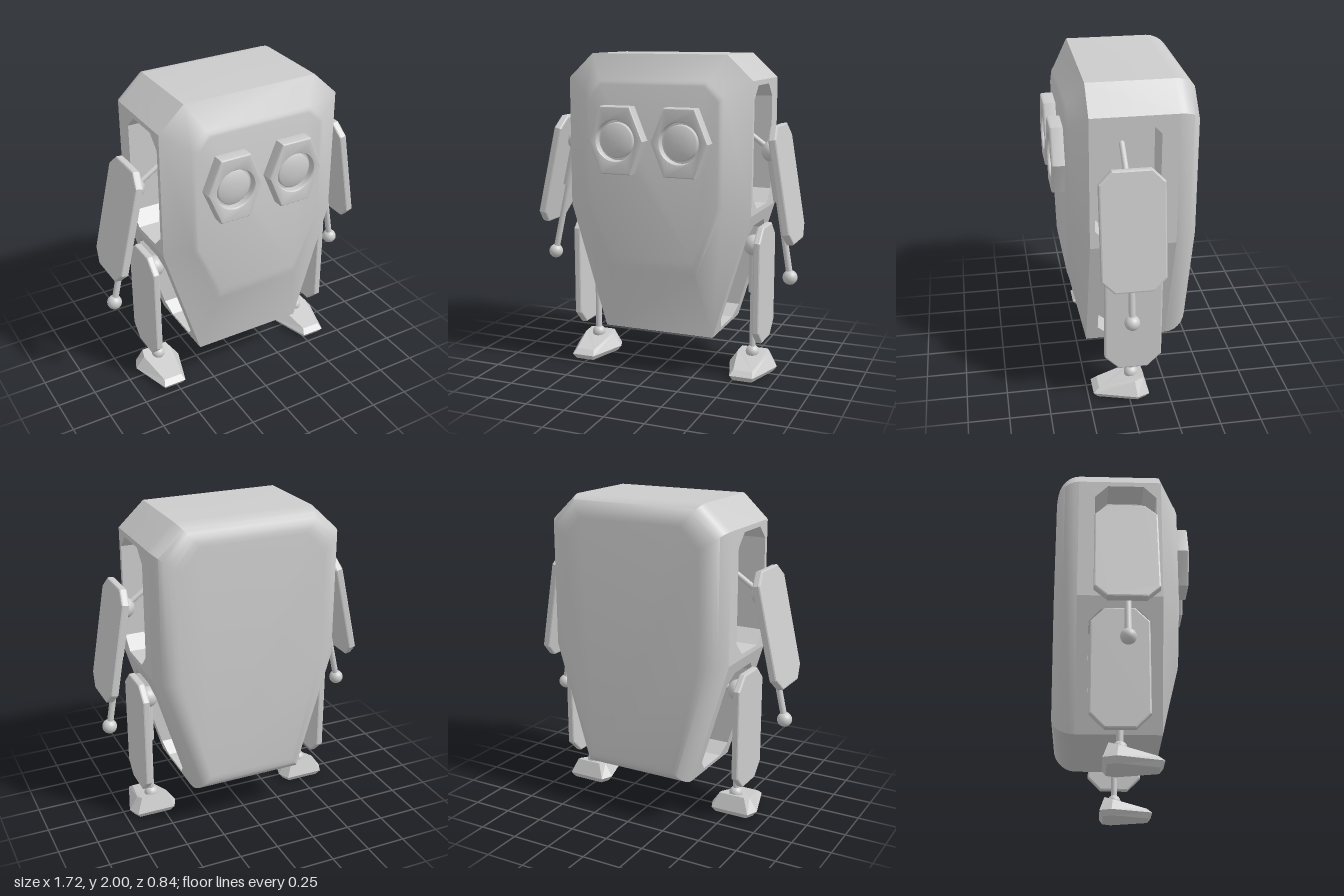
import * as THREE from 'three';
import { toCreasedNormals } from 'three/addons/utils/BufferGeometryUtils.js';

const grey = new THREE.MeshStandardMaterial({ color: 0xcccccc });
const flat = new THREE.MeshStandardMaterial({ color: 0xcccccc, flatShading: true });
const thin = new THREE.MeshStandardMaterial({ color: 0xcccccc, side: THREE.DoubleSide });

function add(parent, name, geometry, material = grey, x = 0, y = 0, z = 0) {
  const m = new THREE.Mesh(geometry, material);
  m.name = name;
  m.position.set(x, y, z);
  parent.add(m);
  return m;
}

// Skin over rings of [x, y, z] points with both ends closed; skip(k, i) leaves a quad open
function loft(rings, skip = () => false) {
  const n = rings[0].length, index = [];
  for (let k = 0; k < rings.length - 1; k++) {
    for (let i = 0; i < n; i++) {
      if (skip(k, i)) continue;
      const a = k * n + i, b = k * n + (i + 1) % n;
      index.push(a, a + n, b, b, a + n, b + n);
    }
  }
  const last = (rings.length - 1) * n;
  for (let i = 1; i < n - 1; i++) index.push(0, i, i + 1, last, last + i + 1, last + i);
  const g = new THREE.BufferGeometry();
  g.setAttribute('position', new THREE.Float32BufferAttribute(rings.flat(2), 3));
  g.setIndex(index);
  g.computeVertexNormals();
  return g;
}

// Rectangle with cut corners, as 2D points
const octagon = (x0, x1, y0, y1, c) => [
  [x0 + c, y0], [x1 - c, y0], [x1, y0 + c], [x1, y1 - c],
  [x1 - c, y1], [x0 + c, y1], [x0, y1 - c], [x0, y0 + c],
].map(([x, y]) => new THREE.Vector2(x, y));

// Bevelled plate lying in the yz plane
function plate(w, h, t, c) {
  const b = 0.01;
  const shape = new THREE.Shape(octagon(-w / 2 + b, w / 2 - b, -h / 2 + b, h / 2 - b, c));
  const g = new THREE.ExtrudeGeometry(shape, {
    depth: t - 2 * b, bevelSize: b, bevelThickness: b, bevelSegments: 2 });
  return g.translate(0, 0, -t / 2 + b).rotateY(-Math.PI / 2);
}

// Round rod between two points
function rod(parent, name, from, to, r) {
  const a = new THREE.Vector3(...from), d = new THREE.Vector3(...to).sub(a);
  const m = add(parent, name, new THREE.CylinderGeometry(r, r, d.length(), 20));
  m.position.copy(a).addScaledVector(d, 0.5);
  m.quaternion.setFromUnitVectors(new THREE.Vector3(0, 1, 0), d.normalize());
}

const ball = r => new THREE.SphereGeometry(r, 28, 20);

// Eight-cornered outline from its right half, counter-clockwise from the bottom right
const outline = half => [...half, ...half.map(([x, y]) => [-x, y]).reverse()];
const hull = outline([[0.36, 0.27], [0.595, 1.05], [0.595, 1.85], [0.435, 2]]);
const face = outline([[0.27, 0.74], [0.425, 1.1], [0.425, 1.74], [0.335, 1.83]]);

function buildBody(root) {
  const body = new THREE.Group();
  body.name = 'body';
  root.add(body);
  const zSide = 0.23, zBack = -0.28, cy = 1.12;
  const mix = (t, z) => hull.map(([x, y], i) => [
    x + (face[i][0] - x) * t, y + (face[i][1] - y) * t, z]);
  const rings = [mix(1.06, 0.34), mix(0.96, 0.334), mix(0.88, 0.322), mix(0, zSide), mix(0, zBack)];
  // Rounded back edge
  for (let j = 1; j <= 7; j++) {
    const a = (j / 7) * Math.PI / 2, inset = 1 - Math.cos(a);
    rings.push(hull.map(([x, y]) => [
      x * (1 - 0.23 * inset), cy + (y - cy) * (1 - 0.14 * inset), zBack - 0.14 * Math.sin(a)]));
  }
  const sideQuads = [0, 1, 5, 6];
  const shell = loft(rings, (k, i) => k === 3 && sideQuads.includes(i));
  add(body, 'shell', toCreasedNormals(shell, 0.62));

  // Side walls with limb recesses
  for (const s of [1, -1]) {
    sideWall(body, 'armRecess', s, hull[1], hull[2], octagon(-0.18, 0.2, 1.08, 1.82, 0.08), 0.2);
    sideWall(body, 'legRecess', s, hull[0], hull[1], octagon(-0.21, 0.16, 0.3, 0.97, 0.07), 0.18);
  }

  function sideWall(parent, name, s, low, high, hole, depth) {
    const xAt = y => low[0] + (high[0] - low[0]) * (y - low[1]) / (high[1] - low[1]);
    const shape = new THREE.Shape([
      [zBack, low[1]], [zSide, low[1]], [zSide, high[1]], [zBack, high[1]],
    ].map(p => new THREE.Vector2(...p)));
    shape.holes.push(new THREE.Path(hole));
    const wall = new THREE.ShapeGeometry(shape), p = wall.attributes.position;
    for (let i = 0; i < p.count; i++) {
      const z = p.getX(i), y = p.getY(i);
      p.setXYZ(i, s * xAt(y), y, z);
    }
    // Front of the wall faces outward on both sides
    if (s > 0) {
      const ix = wall.index.array;
      for (let i = 0; i < ix.length; i += 3) [ix[i], ix[i + 1]] = [ix[i + 1], ix[i]];
    }
    wall.computeVertexNormals();
    add(parent, name + 'Wall', wall, thin);
    // Open cup behind the hole
    const ring = d => hole.map(q => [s * (xAt(q.y) - d), q.y, q.x]);
    const n = hole.length, index = [];
    for (let i = 0; i < n; i++) {
      const a = i, b = (i + 1) % n;
      index.push(a, b, a + n, b, b + n, a + n);
      if (i > 0 && i < n - 1) index.push(n, n + i, n + i + 1);
    }
    const cup = new THREE.BufferGeometry();
    cup.setAttribute('position', new THREE.Float32BufferAttribute([...ring(0), ...ring(depth)].flat(), 3));
    cup.setIndex(index);
    add(parent, name, toCreasedNormals(cup, 0.3), thin);
  }
}

function buildEye(root, s) {
  const eye = new THREE.Group();
  eye.name = s > 0 ? 'leftEye' : 'rightEye';
  eye.position.set(s * 0.205, 1.49, 0.33);
  root.add(eye);
  const shape = new THREE.Shape([
    [0.17, 0], [0.09, 0.195], [-0.09, 0.195], [-0.17, 0], [-0.09, -0.195], [0.09, -0.195],
  ].map(p => new THREE.Vector2(...p)));
  shape.holes.push(new THREE.Path().absarc(0, 0, 0.133, 0, Math.PI * 2, true));
  const rim = new THREE.ExtrudeGeometry(shape, {
    depth: 0.075, bevelSize: 0.01, bevelThickness: 0.012, bevelSegments: 3, curveSegments: 24 });
  add(eye, 'eyeRim', toCreasedNormals(rim, 0.5));
  const base = new THREE.CylinderGeometry(0.13, 0.13, 0.05, 40).rotateX(Math.PI / 2);
  add(eye, 'eyeSocket', base, grey, 0, 0, 0.015);
  // Shallow domed lens
  const lens = new THREE.LatheGeometry([
    [0.108, 0], [0.108, 0.022], [0.1, 0.03], [0.06, 0.04], [0.03, 0.043], [0, 0.044],
  ].map(p => new THREE.Vector2(...p)), 40).rotateX(Math.PI / 2);
  add(eye, 'eyeLens', lens, grey, 0, 0, 0.035);
}

function buildArm(root, s, shoulder, tilt) {
  const side = s > 0 ? 'left' : 'right';
  const arm = new THREE.Group();
  arm.name = side + 'Arm';
  arm.position.set(s * shoulder[0], shoulder[1], 0.012);
  arm.rotation.z = s * tilt;
  root.add(arm);
  add(arm, 'shoulderBall', ball(0.065));
  rod(arm, 'upperArm', [0, 0, 0], [0, -0.31, 0], 0.035);
  rod(arm, 'forearm', [0, -0.3, 0], [0, -0.78, 0], 0.02);
  add(arm, 'hand', ball(0.046), grey, 0, -0.785, 0);
  add(arm, 'armPlate', plate(0.38, 0.72, 0.05, 0.07), grey, s * 0.062, -0.206, -0.005);
  rod(root, side + 'ShoulderPin', [s * 0.38, 1.62, 0.012], [s * shoulder[0], shoulder[1], 0.012], 0.017);
}

function buildLeg(root, s) {
  const leg = new THREE.Group();
  leg.name = s > 0 ? 'leftLeg' : 'rightLeg';
  leg.position.set(s * 0.543, 0, -0.025);
  root.add(leg);
  add(leg, 'hipBall', ball(0.067), grey, 0, 0.82, 0);
  rod(leg, 'hipPin', [s * -0.24, 0.84, 0], [s * 0.05, 0.82, 0], 0.02);
  rod(leg, 'thigh', [0, 0.82, 0], [0, 0.52, 0], 0.032);
  rod(leg, 'shin', [0, 0.53, 0], [0, 0.12, 0], 0.02);
  add(leg, 'ankleBall', ball(0.043), grey, 0, 0.125, 0);
  add(leg, 'legPlate', plate(0.35, 0.74, 0.046, 0.08), grey, s * 0.065, 0.585, 0);
  // Wedge foot: narrow toe, wide heel, sloping top
  const level = half => [...half, ...half.map(([x, y, z]) => [-x, y, z]).reverse()];
  const foot = loft([
    level([[0.06, 0.065, 0.21], [0.1, 0.115, -0.01], [0.085, 0.132, -0.065]]),
    level([[0.075, 0.035, 0.245], [0.157, 0.035, -0.02], [0.125, 0.035, -0.097]]),
    level([[0.06, 0, 0.22], [0.13, 0, -0.02], [0.105, 0, -0.075]]),
  ]);
  add(leg, 'foot', foot, flat);
}

export function createModel() {
  const model = new THREE.Group();
  model.name = 'robot';
  const root = new THREE.Group();
  root.name = 'figure';
  root.position.x = 0.02;
  model.add(root);
  buildBody(root);
  for (const s of [1, -1]) {
    buildEye(root, s);
    buildLeg(root, s);
  }
  buildArm(root, 1, [0.655, 1.42], 0.167);
  buildArm(root, -1, [0.665, 1.435], 0.225);
  return model;
}
